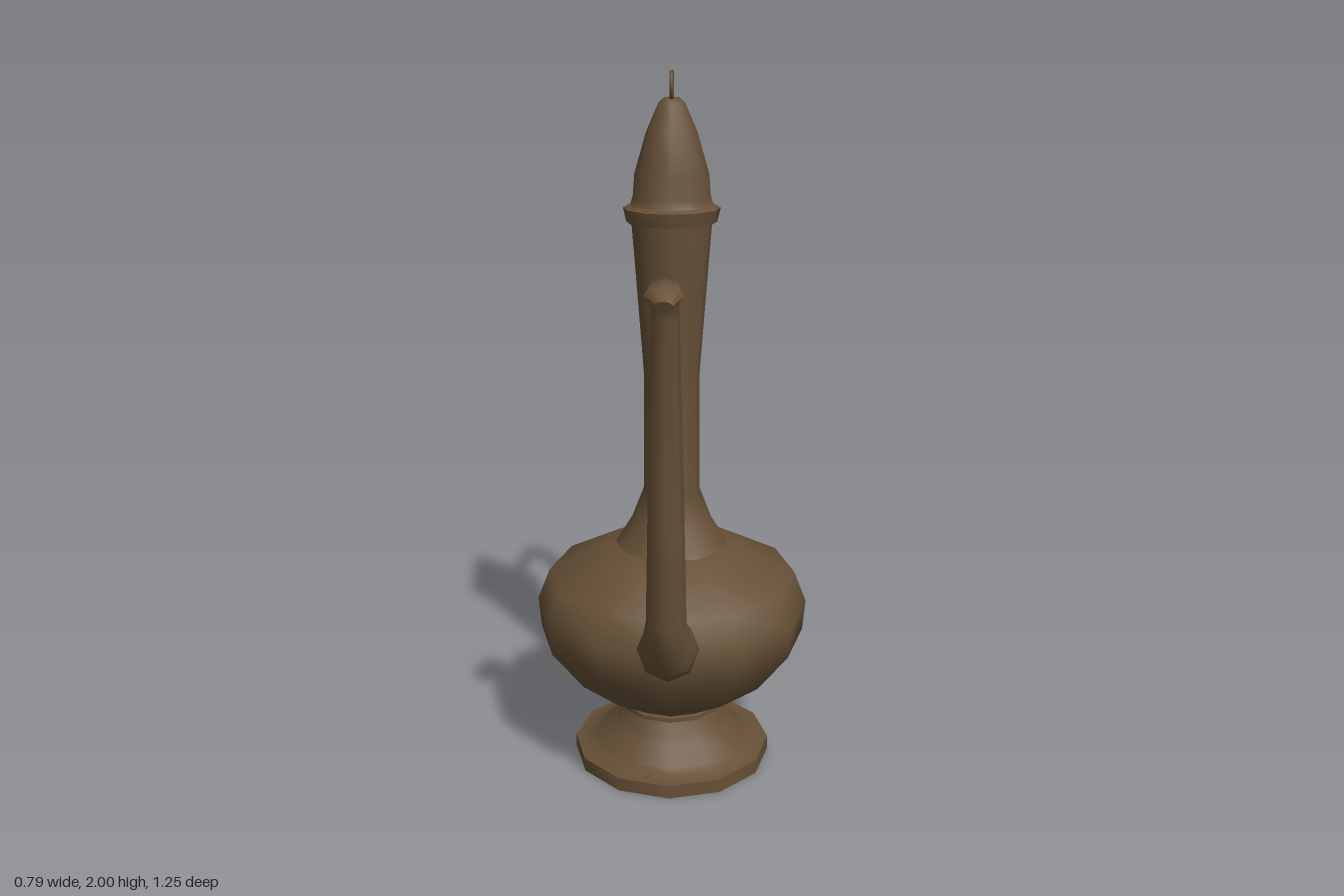
import * as THREE from 'three';
import { toCreasedNormals } from 'three/addons/utils/BufferGeometryUtils.js';

const AXIS_Z = -0.09; // the pot's turning axis

// Sweep an ellipse along stations [z, y, half width in x, half depth in the path plane], both ends capped
function sweep(stations, sides) {
  const pos = [], index = [], n = stations.length;
  stations.forEach(([z, y, rx, rn], i) => {
    const a = stations[Math.max(i - 1, 0)], b = stations[Math.min(i + 1, n - 1)];
    const t = new THREE.Vector2(b[0] - a[0], b[1] - a[1]).normalize();
    for (let j = 0; j < sides; j++) {
      const ang = (j / sides) * Math.PI * 2, s = Math.sin(ang) * rn;
      pos.push(Math.cos(ang) * rx, y - t.x * s, z + t.y * s);
    }
  });
  for (let i = 0; i < n - 1; i++) {
    for (let j = 0; j < sides; j++) {
      const k = (j + 1) % sides, p = i * sides, q = p + sides;
      index.push(q + j, q + k, p + j, q + k, p + k, p + j);
    }
  }
  const first = n * sides, last = first + 1, end = (n - 1) * sides;
  for (const s of [stations[0], stations[n - 1]]) pos.push(0, s[1], s[0]);
  for (let j = 0; j < sides; j++) {
    const k = (j + 1) % sides;
    index.push(first, j, k, last, end + k, end + j);
  }
  const g = new THREE.BufferGeometry();
  g.setAttribute('position', new THREE.Float32BufferAttribute(pos, 3));
  g.setIndex(index);
  g.computeVertexNormals();
  return toCreasedNormals(g, 1.1);
}

export function createModel() {
  const model = new THREE.Group();
  model.name = 'ewer';
  const bronze = new THREE.MeshStandardMaterial({ color: 0x665037 });
  bronze.name = 'aged bronze';

  const add = (name, geometry) => {
    const mesh = new THREE.Mesh(geometry, bronze);
    mesh.name = name;
    model.add(mesh);
    return mesh;
  };
  // Twelve-sided turned part from [radius, height] pairs
  const turned = (name, profile, crease) => {
    const g = new THREE.LatheGeometry(profile.map(([r, y]) => new THREE.Vector2(r, y)), 12);
    add(name, crease ? toCreasedNormals(g, crease) : g).position.z = AXIS_Z;
  };

  turned('foot', [[0, 0], [0.29, 0], [0.29, 0.04], [0.238, 0.045], [0.225, 0.06], [0.172, 0.1],
    [0.157, 0.12], [0.135, 0.163], [0.153, 0.166], [0.153, 0.178], [0.13, 0.182]], 0.8);
  turned('belly', [[0.1, 0.165], [0.14, 0.18], [0.29, 0.275], [0.385, 0.4], [0.393, 0.49],
    [0.357, 0.582], [0.2, 0.665], [0.13, 0.685]]);
  turned('neck', [[0.165, 0.672], [0.155, 0.685], [0.112, 0.755], [0.08, 0.84], [0.077, 1.17],
    [0.1, 1.48], [0.11, 1.61]]);
  turned('lid', [[0.09, 1.6], [0.123, 1.602], [0.132, 1.64], [0.112, 1.648], [0.105, 1.67], [0.1, 1.73],
    [0.068, 1.84], [0.035, 1.915], [0.02, 1.928], [0, 1.93]], 0.9);

  // Upright ring on the lid
  const ring = add('lidRing', new THREE.TorusGeometry(0.037, 0.006, 6, 10));
  ring.position.set(0, 1.957, AXIS_Z);
  ring.rotation.y = Math.PI / 2;

  // Spout rising from the belly and curling forward at the tip
  add('spout', sweep([
    [0.2, 0.48, 0.085, 0.085], [0.275, 0.508, 0.085, 0.087], [0.385, 0.56, 0.07, 0.075],
    [0.43, 0.665, 0.052, 0.048], [0.45, 1.0, 0.045, 0.044], [0.488, 1.47, 0.034, 0.031],
    [0.498, 1.52, 0.034, 0.036], [0.54, 1.547, 0.042, 0.026], [0.58, 1.543, 0.046, 0.025],
    [0.617, 1.526, 0.022, 0.013],
  ], 8));

  // Handle from under the lid down to the belly
  add('handle', sweep([
    [-0.17, 1.592, 0.017, 0.015], [-0.46, 1.522, 0.024, 0.017], [-0.55, 1.488, 0.032, 0.026],
    [-0.594, 1.37, 0.034, 0.029], [-0.608, 1.21, 0.034, 0.021], [-0.555, 0.86, 0.026, 0.02],
    [-0.5, 0.61, 0.021, 0.017], [-0.455, 0.5, 0.02, 0.016],
  ], 8));

  return model;
}
